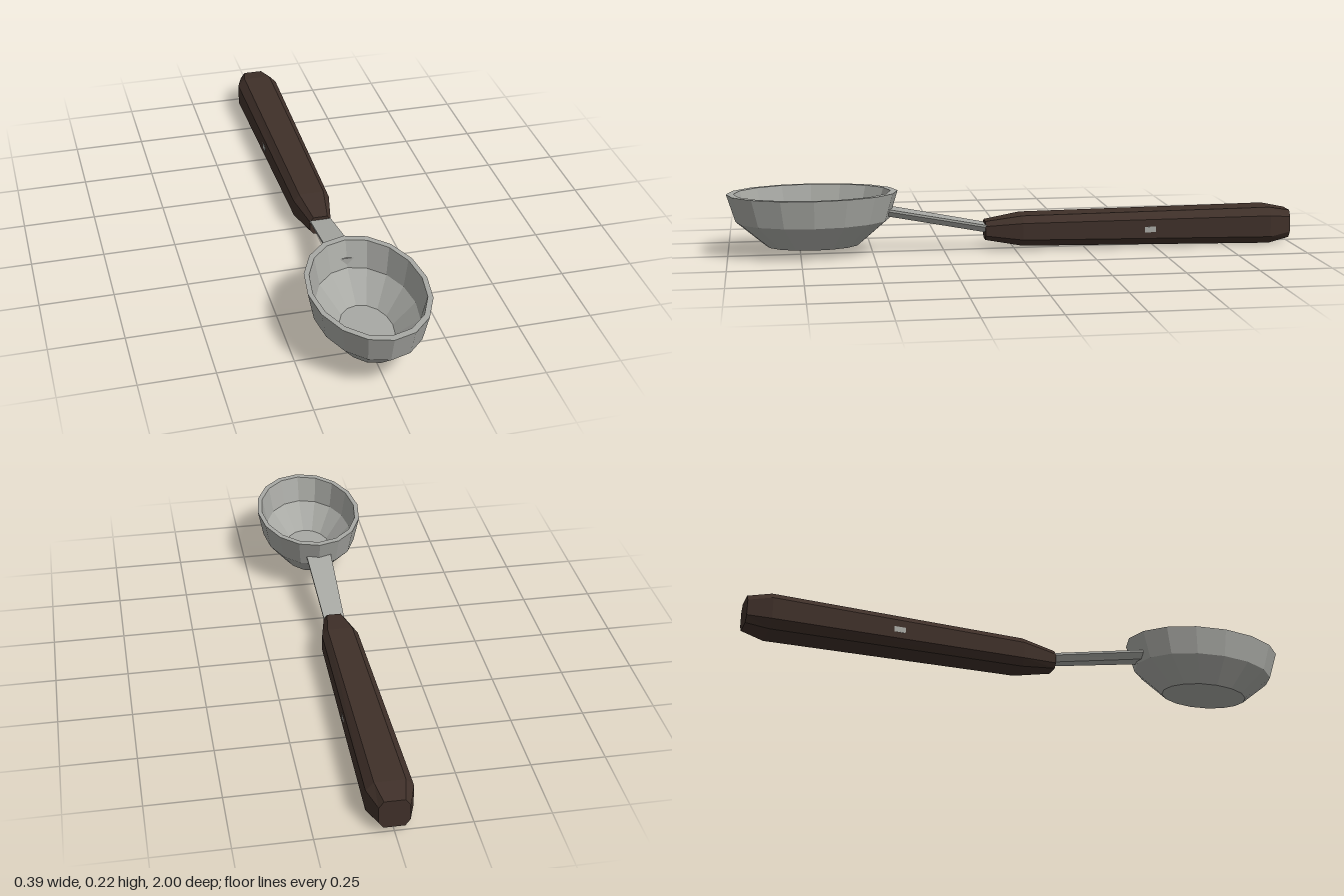
import * as THREE from 'three';

const steel = new THREE.MeshStandardMaterial({ color: 0xa8a9a4 });
steel.name = 'steel';
const wood = new THREE.MeshStandardMaterial({ color: 0x3f3029 });
wood.name = 'darkWood';

function flat(geometry) {
  const g = geometry.index ? geometry.toNonIndexed() : geometry;
  g.computeVertexNormals();
  return g;
}

function part(name, geometry, material) {
  const mesh = new THREE.Mesh(flat(geometry), material);
  mesh.name = name;
  return mesh;
}

// Closed solid through rings listed from front (+z) to back, each counter-clockwise seen from +z
function loft(rings) {
  const pos = [];
  const tri = (a, b, c) => pos.push(...a, ...b, ...c);
  const n = rings[0].length;
  for (let r = 0; r < rings.length - 1; r++) {
    const a = rings[r], b = rings[r + 1];
    for (let i = 0; i < n; i++) {
      const j = (i + 1) % n;
      tri(a[i], b[i], a[j]);
      tri(a[j], b[i], b[j]);
    }
  }
  const first = rings[0], last = rings[rings.length - 1];
  for (let i = 1; i < n - 1; i++) {
    tri(first[0], first[i], first[i + 1]);
    tri(last[0], last[i + 1], last[i]);
  }
  const g = new THREE.BufferGeometry();
  g.setAttribute('position', new THREE.Float32BufferAttribute(pos, 3));
  return g;
}

// Rectangle with chamfered corners
function octagon(z, halfWidth, bottom, top, cx, cy) {
  const w = halfWidth, v = w - cx;
  return [
    [-v, bottom, z], [v, bottom, z], [w, bottom + cy, z], [w, top - cy, z],
    [v, top, z], [-v, top, z], [-w, top - cy, z], [-w, bottom + cy, z],
  ];
}

// Flat-topped bar with a narrower underside
function bar(z, halfWidth, bottom, top) {
  const v = halfWidth * 0.55;
  return [[-v, bottom, z], [v, bottom, z], [halfWidth, top - 0.008, z],
    [halfWidth, top, z], [-halfWidth, top, z], [-halfWidth, top - 0.008, z]];
}

export function createModel() {
  const model = new THREE.Group();
  model.name = 'scoop';

  // Oval bowl with a thick wall
  const profile = [
    [0, 0.033], [0.162, 0.033], [0.265, 0.12], [0.295, 0.217],
    [0.27, 0.217], [0.242, 0.125], [0.13, 0.05], [0, 0.05],
  ].map(([r, y]) => new THREE.Vector2(r, y));
  const bowl = new THREE.LatheGeometry(profile, 16);
  bowl.scale(0.66, 1, 1);
  bowl.translate(0, 0, 0.705);
  model.add(part('bowl', bowl, steel));

  // Sloping stem, slightly let into the bowl and the handle
  model.add(part('stem', loft([
    bar(0.46, 0.046, 0.132, 0.16),
    bar(0.08, 0.036, 0.058, 0.086),
  ]), steel));

  // Chamfered handle with tapered ends
  model.add(part('handle', loft([
    octagon(0.105, 0.037, 0.036, 0.102, 0.012, 0.016),
    octagon(-0.025, 0.064, 0.015, 0.122, 0.02, 0.024),
    octagon(-0.92, 0.076, 0, 0.13, 0.026, 0.027),
    octagon(-1, 0.05, 0.016, 0.115, 0.016, 0.022),
  ]), wood));

  // Pin ends showing on both sides of the handle
  for (const side of [1, -1]) {
    const pin = part('handlePin', new THREE.BoxGeometry(0.006, 0.02, 0.04), steel);
    pin.position.set(side * 0.068, 0.065, -0.48);
    model.add(pin);
  }
  return model;
}
